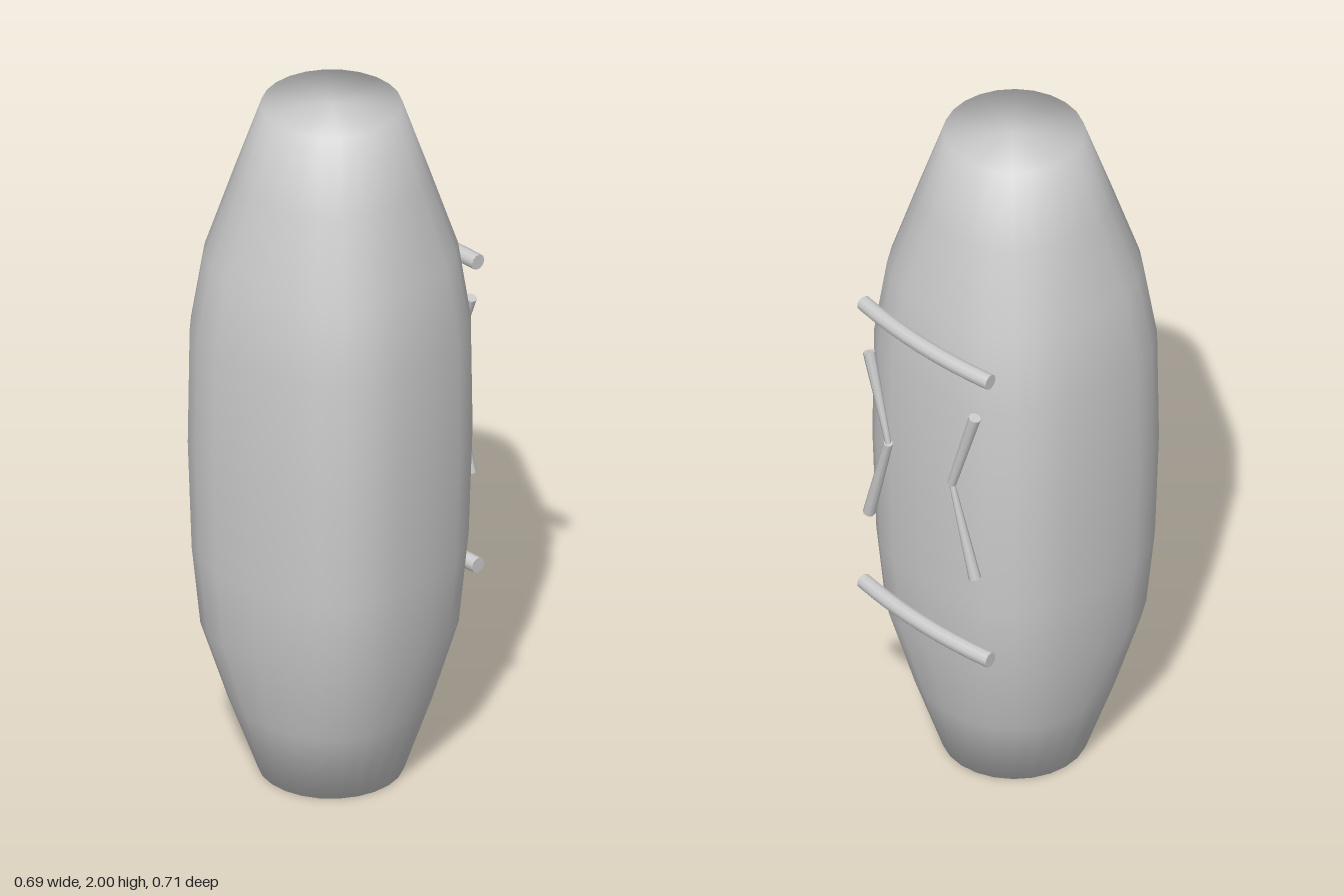
import * as THREE from 'three';

const material = new THREE.MeshStandardMaterial({ color: 0xcccccc });
const SIDES = 24;

// Rows of the barrel: height, half-width, roundness exponent (2 = circle), z offset
const ROWS = [
  [0, 0.195, 2, 0.006], [0.22, 0.262, 2.3, 0.008], [0.45, 0.32, 2.6, 0.01],
  [0.68, 0.338, 2.7, 0.01], [1.0, 0.346, 2.75, 0.01], [1.34, 0.343, 2.7, 0.01],
  [1.56, 0.314, 2.6, 0.008], [1.79, 0.25, 2.3, 0.006], [2, 0.188, 2, 0.004],
];

// Smooth closed skin of rounded-square rings with flat ends
function bodyGeometry() {
  const positions = [];
  const index = [];
  const power = (v, e) => Math.sign(v) * Math.abs(v) ** e;
  for (const [y, r, n, dz] of ROWS) {
    for (let i = 0; i < SIDES; i++) {
      const a = (i / SIDES) * Math.PI * 2;
      positions.push(r * power(Math.sin(a), 2 / n), y, dz + r * power(Math.cos(a), 2 / n));
    }
  }
  const bottom = ROWS.length * SIDES;
  const top = bottom + 1;
  const lastRow = (ROWS.length - 1) * SIDES;
  positions.push(0, 0, 0, 0, 2, 0);
  for (let i = 0; i < SIDES; i++) {
    const j = (i + 1) % SIDES;
    for (let k = 0; k < lastRow; k += SIDES) {
      index.push(k + i, k + j, k + SIDES + j, k + i, k + SIDES + j, k + SIDES + i);
    }
    index.push(bottom, j, i, top, lastRow + i, lastRow + j);
  }
  const geometry = new THREE.BufferGeometry();
  geometry.setAttribute('position', new THREE.Float32BufferAttribute(positions, 3));
  geometry.setIndex(index);
  geometry.computeVertexNormals();
  return geometry;
}

function add(parent, geometry, name) {
  const mesh = new THREE.Mesh(geometry, material);
  mesh.name = name;
  parent.add(mesh);
  return mesh;
}

// Tapered rod between two points
function rod(parent, from, to, r0, r1, name) {
  const dir = to.clone().sub(from);
  const mesh = add(parent, new THREE.CylinderGeometry(r1, r0, dir.length(), 8), name);
  mesh.position.copy(from).addScaledVector(dir, 0.5);
  mesh.quaternion.setFromUnitVectors(new THREE.Vector3(0, 1, 0), dir.normalize());
}

// Bowed bar closed with end discs
function bar(parent, y, name) {
  const group = new THREE.Group();
  group.name = name;
  const r = 0.022;
  const end = new THREE.Vector3(0.243, y, -0.315);
  const start = new THREE.Vector3(-0.243, y, -0.315);
  const curve = new THREE.QuadraticBezierCurve3(start, new THREE.Vector3(0, y, -0.353), end);
  add(group, new THREE.TubeGeometry(curve, 8, r, 10), 'barRod');
  for (const [t, sign, point] of [[0, -1, start], [1, 1, end]]) {
    const cap = add(group, new THREE.CircleGeometry(r, 10), 'barEnd');
    cap.position.copy(point);
    const out = curve.getTangent(t).multiplyScalar(sign);
    cap.quaternion.setFromUnitVectors(new THREE.Vector3(0, 0, 1), out);
  }
  parent.add(group);
}

export function createModel() {
  const model = new THREE.Group();
  model.name = 'barrel';
  add(model, bodyGeometry(), 'body');

  // Two cross bars on the back
  bar(model, 1.465, 'upperBar');
  bar(model, 0.545, 'lowerBar');

  // Bent handles between the bars, elbows pointing inwards
  for (const side of [1, -1]) {
    const handle = new THREE.Group();
    handle.name = side > 0 ? 'leftHandle' : 'rightHandle';
    const elbow = new THREE.Vector3(side * 0.122, 1.08, -0.341);
    for (const up of [1, -1]) {
      const tip = new THREE.Vector3(side * 0.203, 1.07 + up * 0.265, -0.334);
      const pinched = side === up;
      rod(handle, elbow, tip, pinched ? 0.008 : 0.013, 0.017, up > 0 ? 'upperArm' : 'lowerArm');
    }
    model.add(handle);
  }
  return model;
}
